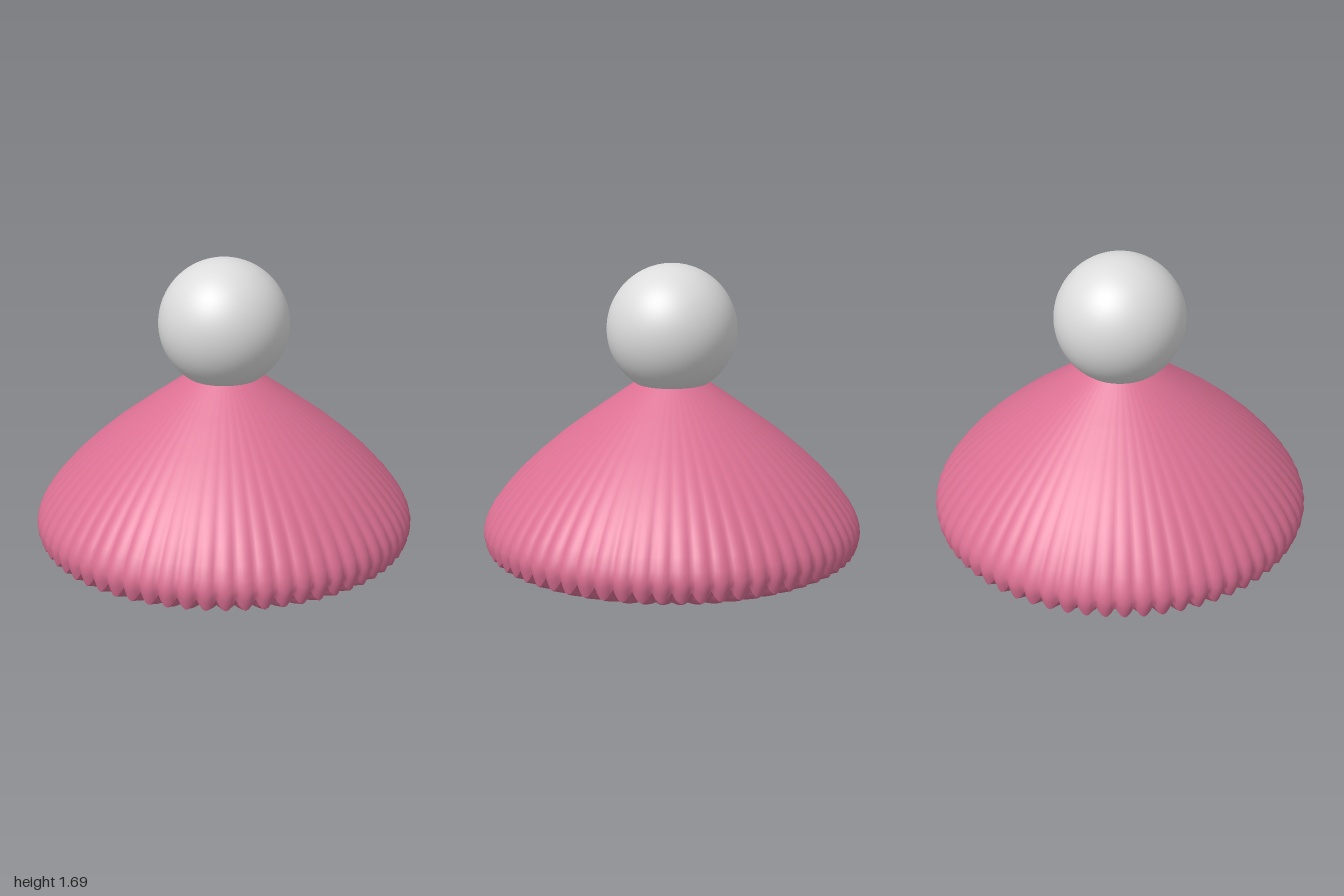
import * as THREE from 'three';

const FLUTES = 64, STEPS = 6, SEG = FLUTES * STEPS;

// Stack of fluted rings. Each row is [radius, y, radial flute depth, flute drop in y].
function flutedShell(rows, material, name) {
  const pos = [], index = [];
  for (const [r, y, depth, drop] of rows) {
    for (let i = 0; i < SEG; i++) {
      const a = (i / SEG) * Math.PI * 2;
      const bulge = Math.abs(Math.sin((a * FLUTES) / 2)); // 0 in the creases, 1 mid flute
      const radius = r - depth * (1 - bulge);
      pos.push(Math.sin(a) * radius, y - drop * bulge, Math.cos(a) * radius);
    }
  }
  for (let j = 0; j < rows.length - 1; j++) {
    for (let i = 0; i < SEG; i++) {
      const n = (i + 1) % SEG;
      const a = j * SEG + i, b = j * SEG + n, c = a + SEG, d = b + SEG;
      index.push(a, c, b, b, c, d);
    }
  }
  const geo = new THREE.BufferGeometry();
  geo.setAttribute('position', new THREE.Float32BufferAttribute(pos, 3));
  geo.setIndex(index);
  geo.computeVertexNormals();
  const mesh = new THREE.Mesh(geo, material);
  mesh.name = name;
  return mesh;
}

export function createModel() {
  const group = new THREE.Group();
  group.name = 'flutedBodyWithBall';
  const pink = new THREE.MeshStandardMaterial({ color: 0xdb7093, side: THREE.DoubleSide });
  pink.name = 'rose pink';
  const grey = new THREE.MeshStandardMaterial({ color: 0xdcdcdc });
  grey.name = 'light grey';

  // Upper body: smooth at the neck, fluted towards the rim
  const rim = [0.975, 0.245, 0.01, 0.055];
  group.add(flutedShell([
    [0.19, 1.07, 0, 0], [0.39, 0.93, 0.001, 0], [0.58, 0.79, 0.002, 0],
    [0.71, 0.68, 0.004, 0], [0.81, 0.585, 0.006, 0], [0.89, 0.495, 0.009, 0],
    [0.95, 0.415, 0.013, 0], [0.985, 0.355, 0.016, 0.005], [1.0, 0.31, 0.018, 0.015],
    [0.995, 0.275, 0.016, 0.03], rim,
  ], pink, 'upperBody'));

  // Underside: shallow cone starting at the scalloped rim
  group.add(flutedShell([
    rim, [0.9, 0.18, 0.012, 0.02], [0.8, 0.135, 0.01, 0.01],
    [0.68, 0.095, 0.006, 0.003], [0.35, 0.049, 0.002, 0], [0, 0, 0, 0],
  ], pink, 'underside'));

  // Ball resting in the neck
  const ball = new THREE.Mesh(new THREE.SphereGeometry(0.34, 64, 40), grey);
  ball.name = 'ball';
  ball.position.y = 1.35;
  group.add(ball);
  return group;
}
